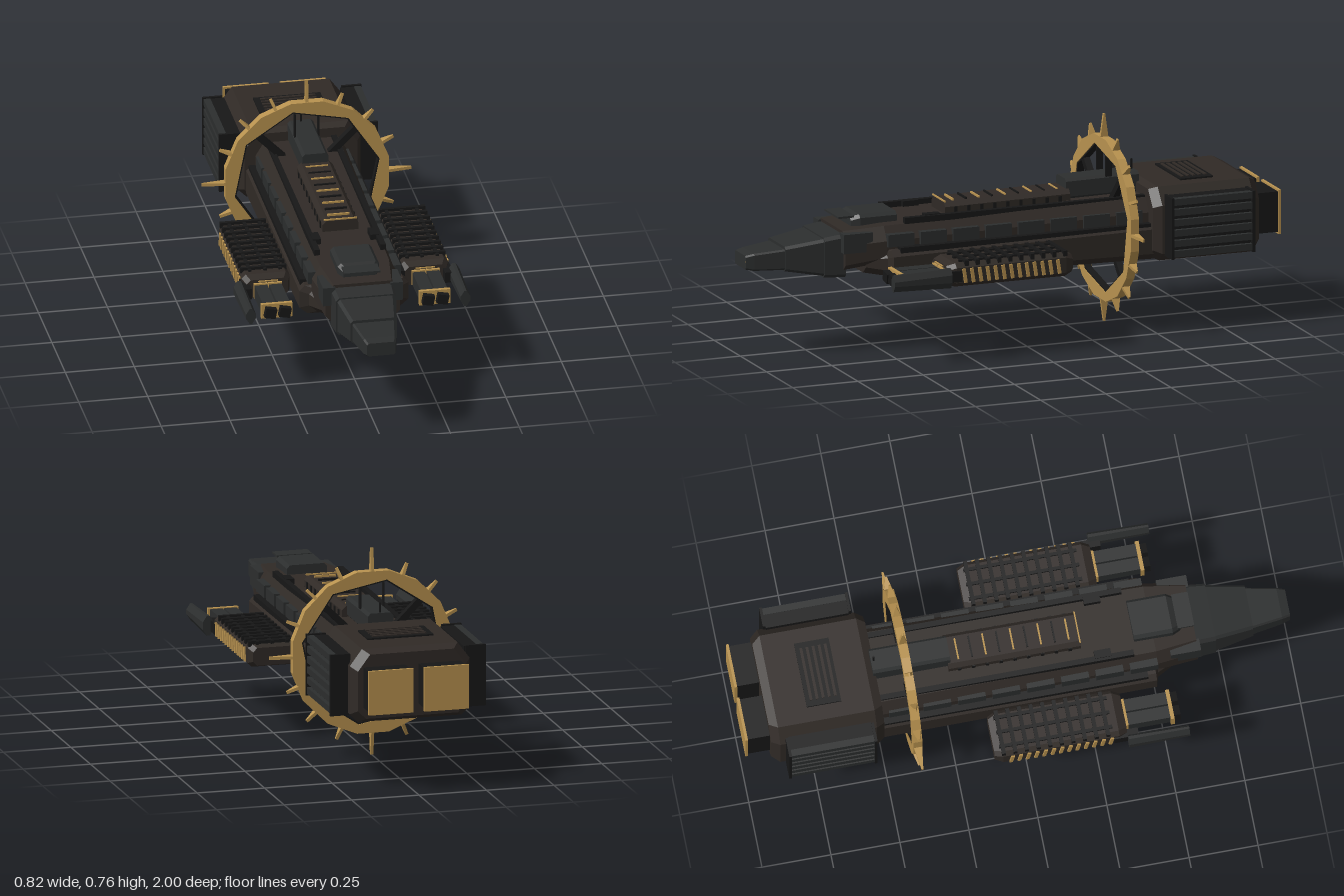
import * as THREE from 'three';

const mat = (color) => new THREE.MeshStandardMaterial({ color, flatShading: true, side: THREE.DoubleSide });
const HULL = mat(0x302a26), STEEL = mat(0x2c2e2e), BLACK = mat(0x171717), GOLD = mat(0xb8924f);

export function createModel() {
  const root = new THREE.Group();

  const add = (name, geo, material, parent = root) => {
    const m = new THREE.Mesh(geo, material);
    m.name = name;
    parent.add(m);
    return m;
  };
  // Box given by its extents
  const box = (name, material, x0, x1, y0, y1, z0, z1, parent = root) => {
    const m = add(name, new THREE.BoxGeometry(x1 - x0, y1 - y0, z1 - z0), material, parent);
    m.position.set((x0 + x1) / 2, (y0 + y1) / 2, (z0 + z1) / 2);
    return m;
  };
  // Loft through chamfered rectangles; station = [z, halfWidth, bottom, top], z falling.
  // t and b are [x, y] chamfers of the top and bottom edges.
  const loft = (name, material, stations, t = [0.02, 0.02], b = t, parent = root, cx = 0) => {
    const pos = [], idx = [], n = 8;
    for (const [z, w, y0, y1] of stations) {
      const ring = [[w, y0 + b[1]], [w, y1 - t[1]], [w - t[0], y1], [t[0] - w, y1],
        [-w, y1 - t[1]], [-w, y0 + b[1]], [b[0] - w, y0], [w - b[0], y0]];
      ring.forEach(([x, y]) => pos.push(x + cx, y, z));
    }
    const last = (stations.length - 1) * n;
    for (let s = 0; s < last; s += n) {
      for (let i = 0; i < n; i++) {
        const a = s + i, c = s + (i + 1) % n;
        idx.push(a, a + n, c, c, a + n, c + n);
      }
    }
    for (let i = 1; i < n - 1; i++) idx.push(0, i, i + 1, last, last + i + 1, last + i);
    const g = new THREE.BufferGeometry();
    g.setAttribute('position', new THREE.Float32BufferAttribute(pos, 3));
    g.setIndex(idx);
    const flat = g.toNonIndexed();
    flat.computeVertexNormals();
    return add(name, flat, material, parent);
  };

  // Main hull: lower body, sloped upper body, stepped nose
  loft('lowerHull', HULL, [[0.57, 0.13, 0.29, 0.36], [0.5, 0.165, 0.28, 0.37], [0.49, 0.198, 0.27, 0.38],
    [-0.52, 0.198, 0.255, 0.39]], [0.02, 0.02], [0.03, 0.025]);
  loft('upperHull', HULL, [[0.65, 0.135, 0.31, 0.45], [0.5, 0.155, 0.33, 0.46], [-0.52, 0.165, 0.33, 0.475]],
    [0.03, 0.05], [0.02, 0.02]);
  loft('noseCollar', STEEL, [[0.72, 0.11, 0.285, 0.43], [0.64, 0.115, 0.28, 0.44]], [0.012, 0.012]);
  loft('noseMiddle', STEEL, [[0.86, 0.084, 0.315, 0.405], [0.72, 0.105, 0.29, 0.425]], [0.01, 0.01]);
  loft('noseTip', STEEL, [[1, 0.052, 0.328, 0.378], [0.97, 0.06, 0.322, 0.385], [0.86, 0.078, 0.32, 0.395]], [0.006, 0.006]);
  for (const s of [-1, 1]) box('noseMark', GOLD, s * 0.05 - 0.002, s * 0.05 + 0.002, 0.333, 0.36, 0.995, 1.0);

  // Dorsal deck: bridge, ribbed spine, rear housing
  loft('bridge', STEEL, [[0.6, 0.06, 0.44, 0.485], [0.57, 0.075, 0.44, 0.495], [0.43, 0.075, 0.45, 0.495]], [0.012, 0.012]);
  box('bridgeVisor', STEEL, -0.065, 0.065, 0.485, 0.492, 0.59, 0.65);
  loft('spine', HULL, [[0.24, 0.065, 0.45, 0.505], [-0.24, 0.065, 0.45, 0.51]], [0.015, 0.015]);
  for (let i = 0; i < 9; i++) {
    const z = 0.2 - i * 0.05;
    box('spineRib', i % 2 ? BLACK : GOLD, -0.04, 0.04, 0.505, 0.513, z - 0.003, z + 0.003);
    box('spineBand', BLACK, -0.068, 0.068, 0.46, 0.49, z - 0.006, z + 0.006);
  }
  box('spineFrontTrim', GOLD, -0.06, 0.06, 0.506, 0.511, 0.235, 0.24);
  loft('dorsalHousing', STEEL, [[-0.23, 0.047, 0.47, 0.545], [-0.51, 0.047, 0.47, 0.548]], [0.01, 0.01]);
  box('antenna', BLACK, -0.003, 0.003, 0.54, 0.585, -0.503, -0.497);

  // Hull flanks: panels, rails and small fittings
  for (const s of [-1, 1]) {
    const side = new THREE.Group();
    side.name = s > 0 ? 'leftFlank' : 'rightFlank';
    root.add(side);
    const b = (name, m, x0, x1, ...r) => box(name, m, Math.min(s * x0, s * x1), Math.max(s * x0, s * x1), ...r, side);
    for (let i = 0; i < 8; i++) {
      const z = 0.5 - i * 0.125;
      b('flankPanel', STEEL, 0.13, 0.168, 0.39, 0.435, z - 0.1, z);
    }
    b('deckRail', BLACK, 0.11, 0.13, 0.46, 0.482, -0.5, 0.42);
    b('ledge', BLACK, 0.15, 0.19, 0.37, 0.39, -0.5, 0.46);
    b('bowBlock', STEEL, 0.1, 0.145, 0.375, 0.445, 0.55, 0.66);
    b('deckFitting', BLACK, 0.09, 0.12, 0.465, 0.485, 0.28, 0.34);
    b('bellyFitting', BLACK, 0.06, 0.1, 0.25, 0.28, -0.24, -0.18);

    // Weapon pod with slatted top and gold cooling ribs
    loft('pod', HULL, [[0.35, 0.075, 0.28, 0.35], [0.32, 0.087, 0.275, 0.36], [-0.1, 0.087, 0.275, 0.36],
      [-0.13, 0.075, 0.285, 0.35]], [0.015, 0.015], undefined, side, s * 0.287);
    for (let i = 0; i < 10; i++) {
      const z = 0.28 - i * 0.042;
      b('podSlat', BLACK, 0.205, 0.372, 0.35, 0.37, z - 0.007, z + 0.007);
    }
    for (const x of [0.23, 0.285, 0.34]) b('podSpar', BLACK, x - 0.006, x + 0.006, 0.355, 0.367, -0.11, 0.3);
    for (let i = 0; i < 13; i++) {
      const z = 0.29 - i * 0.03;
      b('coolingRib', GOLD, 0.37, 0.38, 0.29, 0.342, z - 0.006, z + 0.006).rotation.x = 0.15;
    }
    // Twin guns
    for (const x of [0.26, 0.312]) {
      b('gunBarrel', STEEL, x - 0.023, x + 0.023, 0.285, 0.333, 0.34, 0.52);
      b('gunBreech', GOLD, x - 0.025, x + 0.025, 0.283, 0.338, 0.35, 0.36);
      const muzzle = b('muzzle', BLACK, x - 0.02, x + 0.02, 0.29, 0.326, 0.52, 0.55);
      muzzle.rotation.z = -0.2;
    }
    b('gunPlate', GOLD, 0.23, 0.343, 0.281, 0.336, 0.512, 0.526);
    b('gunSight', GOLD, 0.25, 0.32, 0.342, 0.346, 0.345, 0.355);
    // Outrigger tube
    loft('outrigger', STEEL, [[0.57, 0.018, 0.285, 0.345], [0.35, 0.02, 0.28, 0.352]], [0.014, 0.022], undefined, side, s * 0.389);
    b('outriggerMount', BLACK, 0.35, 0.38, 0.295, 0.335, 0.3, 0.39);

    // Radiators on the engine block
    b('radiator', BLACK, 0.21, 0.27, 0.28, 0.495, -0.85, -0.55);
    for (let i = 0; i < 6; i++) {
      const y = 0.282 + i * 0.038;
      b('radiatorFin', STEEL, 0.26, 0.285, y, y + 0.024, -0.85, -0.55);
    }
    for (const z of [-0.855, -0.545]) b('radiatorFrame', BLACK, 0.215, 0.288, 0.275, 0.5, z - 0.005, z + 0.005);

    // Square engine nozzle
    b('nozzle', BLACK, 0.025, 0.18, 0.312, 0.46, -0.99, -0.9);
    b('nozzlePlate', GOLD, 0.02, 0.186, 0.305, 0.467, -1, -0.99);
  }

  // Engine block and roof vent
  loft('engineBlock', HULL, [[-0.5, 0.205, 0.265, 0.51], [-0.53, 0.222, 0.253, 0.52], [-0.88, 0.222, 0.253, 0.52],
    [-0.91, 0.2, 0.27, 0.505]], [0.045, 0.06], [0.03, 0.03]);
  box('roofVent', BLACK, -0.122, 0.122, 0.51, 0.526, -0.765, -0.64);
  for (let i = 0; i < 5; i++) box('ventLouvre', HULL, -0.1, 0.1, 0.524, 0.53, -0.75 + i * 0.022, -0.74 + i * 0.022);

  // Belly gun
  loft('bellyGun', STEEL, [[0.35, 0.026, 0.218, 0.262], [0.19, 0.026, 0.218, 0.262]], [0.006, 0.006]);
  box('bellyGunMount', BLACK, -0.02, 0.02, 0.25, 0.29, 0.22, 0.3);
  box('bellyGunPlate', GOLD, -0.03, 0.03, 0.212, 0.264, 0.345, 0.36);
  box('bellyMuzzle', BLACK, -0.021, 0.021, 0.22, 0.256, 0.36, 0.385).rotation.z = -0.2;

  // Spiked ring around the hull
  const ring = new THREE.Group();
  ring.name = 'spikedRing';
  ring.position.set(0, 0.38, -0.395);
  root.add(ring);
  const polygon = (n, r, start) => Array.from({ length: n }, (_, i) => {
    const a = start + (i / n) * Math.PI * 2;
    return new THREE.Vector2(r * Math.cos(a), r * Math.sin(a));
  });
  const band = (name, material, outer, inner, depth) => {
    const shape = new THREE.Shape(outer);
    shape.holes.push(new THREE.Path(inner));
    const g = new THREE.ExtrudeGeometry(shape, { depth, bevelEnabled: false });
    g.translate(0, 0, -depth / 2);
    add(name, g, material, ring);
  };
  const e = Math.PI / 16;
  band('ringBand', GOLD, polygon(16, 0.302, e), polygon(8, 0.268, e), 0.032);
  band('ringLining', BLACK, polygon(8, 0.268, e), polygon(8, 0.262, e), 0.026);

  // Wedge spikes, longer on the four axes
  for (let i = 0; i < 16; i++) {
    const len = i % 4 ? 0.046 : 0.085;
    const wedge = new THREE.Shape([new THREE.Vector2(-0.015, 0), new THREE.Vector2(0.015, 0),
      new THREE.Vector2(0.003, len), new THREE.Vector2(-0.003, len)]);
    const g = new THREE.ExtrudeGeometry(wedge, { depth: 0.011, bevelEnabled: false });
    g.translate(0, 0, -0.0055).rotateY(Math.PI / 2).translate(0, 0.295, 0);
    add('spike', g, GOLD, ring).rotation.z = i * Math.PI / 8;
  }
  // Diagonal struts and upright stays holding the ring
  for (let i = 0; i < 4; i++) {
    const g = new THREE.BoxGeometry(0.024, 0.16, 0.024).translate(0, 0.18, 0);
    add('strut', g, BLACK, ring).rotation.z = Math.PI / 4 + i * Math.PI / 2;
  }
  for (const s of [-1, 1]) box('stay', BLACK, s * 0.043 - 0.002, s * 0.043 + 0.002, 0.13, 0.252, -0.012, 0.012, ring);

  return root;
}
